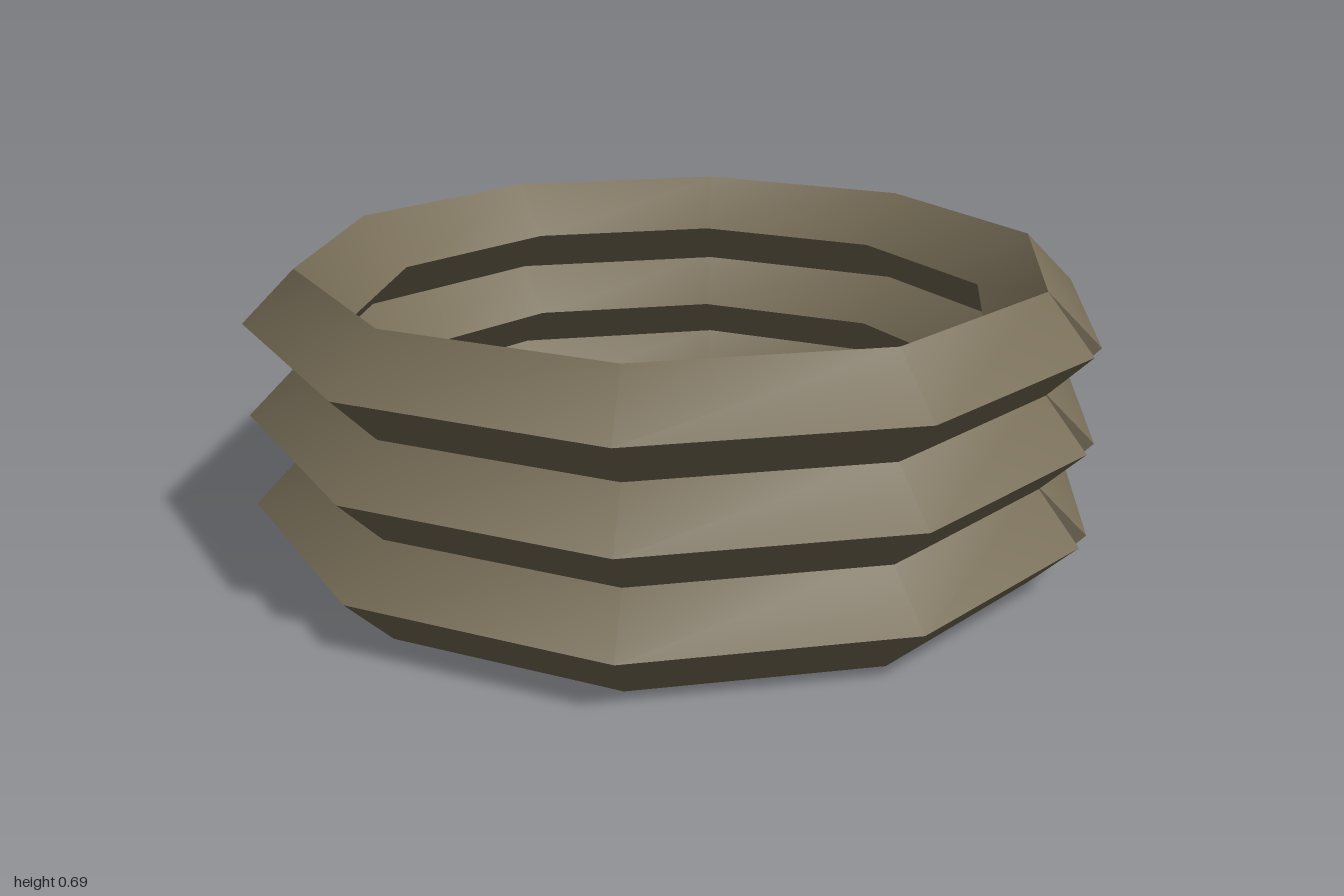
import * as THREE from 'three';
import { toCreasedNormals } from 'three/addons/utils/BufferGeometryUtils.js';

const SIDES = 10;       // straight runs in each ring
const RADIUS = 0.88;    // ring centreline
const HALF = 0.1225;    // half diagonal of the diamond section
const PITCH = 0.22;     // vertical step between rings

// Split ten-sided ring with a diamond section and square-cut, capped ends
function coilGeometry() {
  const points = [];
  const index = [];
  for (let i = 0; i <= SIDES; i++) {
    const a = (i / SIDES) * Math.PI * 2;
    // the two ends are cut square to their own run, so they part on the outside
    const half = Math.PI / SIDES;
    const n = i === 0 ? a + half : i === SIDES ? a - half : a;
    for (let j = 0; j < 4; j++) {
      const out = HALF * Math.cos(j * Math.PI / 2);
      const up = HALF * Math.sin(j * Math.PI / 2);
      points.push(
        RADIUS * Math.cos(a) + out * Math.cos(n),
        up,
        RADIUS * Math.sin(a) + out * Math.sin(n)
      );
      if (i < SIDES) {
        const p = i * 4 + j;
        const q = i * 4 + (j + 1) % 4;
        index.push(p, q, p + 4, q, q + 4, p + 4);
      }
    }
  }
  // End caps
  const e = SIDES * 4;
  index.push(0, 2, 1, 0, 3, 2, e, e + 1, e + 2, e, e + 2, e + 3);

  const geometry = new THREE.BufferGeometry();
  geometry.setAttribute('position', new THREE.Float32BufferAttribute(points, 3));
  geometry.setIndex(index);
  // smooth around the ring, sharp along the diamond's edges
  return toCreasedNormals(geometry, 0.5);
}

export function createModel() {
  const model = new THREE.Group();
  model.name = 'coiledRings';
  const material = new THREE.MeshStandardMaterial({ color: 0x776d57 });
  material.name = 'drabBrown';

  // Three stacked rings, slightly sunk into one another
  const geometry = coilGeometry();
  ['lowerRing', 'middleRing', 'upperRing'].forEach((name, i) => {
    const ring = new THREE.Mesh(geometry, material);
    ring.name = name;
    ring.position.y = HALF + i * PITCH;
    model.add(ring);
  });
  return model;
}
